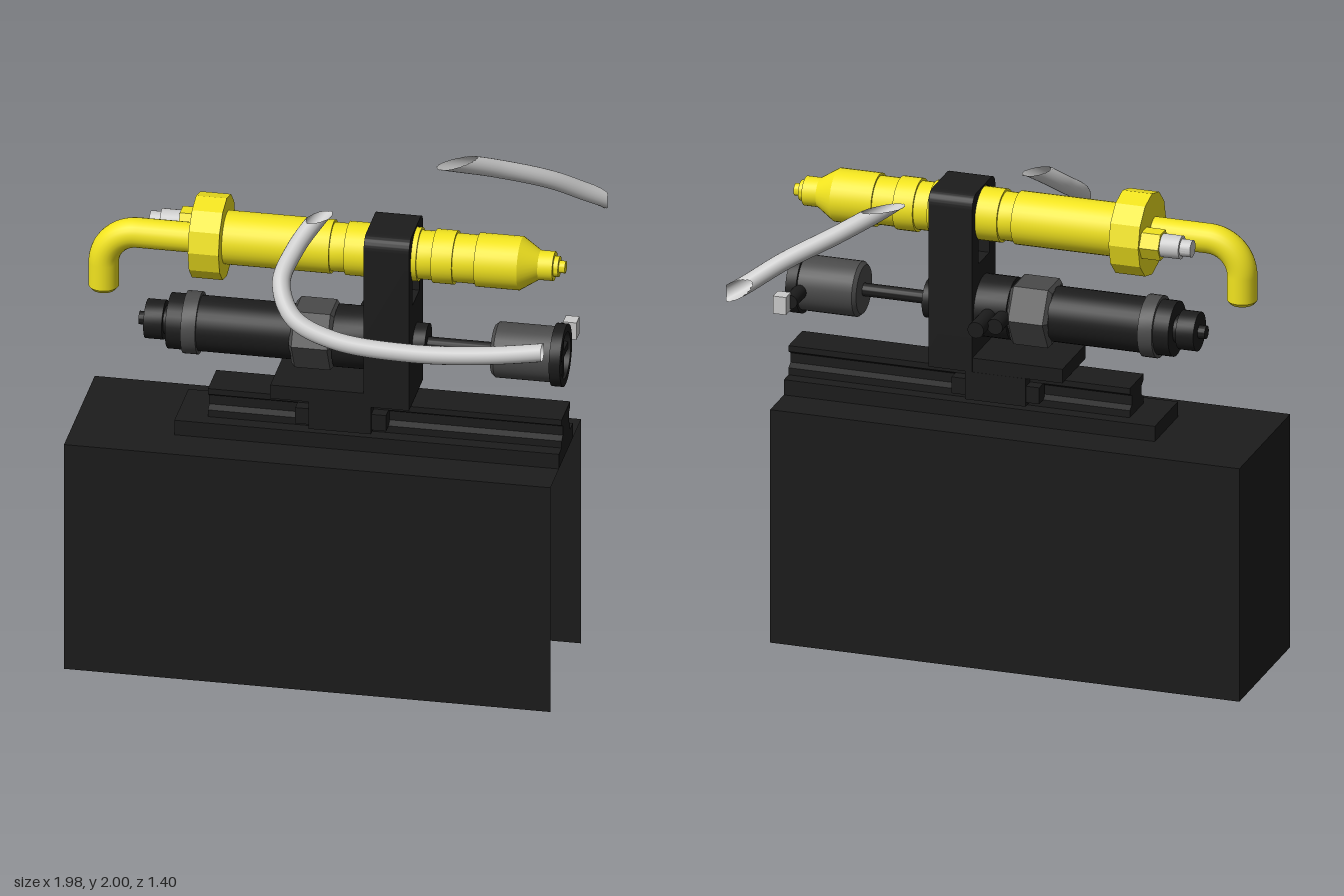
import * as THREE from 'three';
import { toCreasedNormals } from 'three/addons/utils/BufferGeometryUtils.js';

const BLACK = 0x1c1c1c, GREY = 0x4a4a4a, YELLOW = 0xf2e41f, LIGHT = 0xcccccc;
const CZ = 0.157;      // shared centre plane of torch, actuator and rail
const TORCH_Y = 1.83, ACT_Y = 1.437;
const END_X = 0.99;    // plane where rail, housing and cables are cut off

export function createModel() {
  const root = new THREE.Group();

  function add(name, geometry, color, parent = root, side = THREE.FrontSide) {
    const mesh = new THREE.Mesh(geometry, new THREE.MeshStandardMaterial({ color, side }));
    mesh.name = name;
    parent.add(mesh);
    return mesh;
  }
  function group(name) {
    const g = new THREE.Group();
    g.name = name;
    root.add(g);
    return g;
  }
  // Box given by its limits on each axis
  function box(name, x0, x1, y0, y1, z0, z1, color, parent) {
    const g = new THREE.BoxGeometry(x1 - x0, y1 - y0, z1 - z0);
    g.translate((x0 + x1) / 2, (y0 + y1) / 2, (z0 + z1) / 2);
    return add(name, g, color, parent);
  }
  // Turned part along x from [x, radius] pairs
  function turned(name, profile, y, z, color, parent, segments = 32) {
    const pts = [[profile[0][0], 0], ...profile, [profile.at(-1)[0], 0]];
    let g = new THREE.LatheGeometry(pts.map(([x, r]) => new THREE.Vector2(r, x)), segments);
    g = toCreasedNormals(g.rotateZ(-Math.PI / 2), segments > 12 ? 0.5 : 0.2);
    return add(name, g.translate(0, y, z), color, parent);
  }
  // Cross-section (across z, up y) extruded along x
  function extrudeX(name, shape, x0, x1, color, parent) {
    const g = new THREE.ExtrudeGeometry(shape, { depth: x1 - x0, bevelEnabled: false, curveSegments: 20 });
    g.rotateY(Math.PI / 2).translate(x0, 0, CZ);
    return add(name, toCreasedNormals(g, 0.5), color, parent);
  }

  // Hollow housing, open at the bottom and the +x end
  const housing = group('housing');
  function panel(name, w, h, rx, ry, x, y, z) {
    const g = new THREE.PlaneGeometry(w, h).rotateX(rx).rotateY(ry).translate(x, y, z);
    add(name, g, BLACK, housing, THREE.DoubleSide);
  }
  const W = 2 * END_X, zBack = -0.155, zFront = 0.472, zMid = (zBack + zFront) / 2, D = zFront - zBack;
  panel('housingFront', W, 1, 0, 0, 0, 0.5, zFront);
  panel('housingBack', W, 1, 0, Math.PI, 0, 0.5, zBack);
  panel('housingTop', W, D, -Math.PI / 2, 0, 0, 1, zMid);
  panel('housingEnd', D, 1, 0, -Math.PI / 2, -END_X, 0.5, zMid);

  // Linear guide: base plate, waisted rail and carriage
  const guide = group('linearGuide');
  box('railBasePlate', -0.575, END_X, 1.0, 1.065, 0.015, 0.3, BLACK, guide);
  const half = [[0.085, 1.065], [0.085, 1.095], [0.06, 1.11], [0.06, 1.15], [0.085, 1.165], [0.085, 1.19]];
  const section = [...half, ...half.map(([x, y]) => [-x, y]).reverse()];
  extrudeX('rail', new THREE.Shape(section.map(p => new THREE.Vector2(...p))), -0.45, END_X, BLACK, guide);
  for (const s of [-1, 1]) {
    const span = (a, b) => [CZ + s * a, CZ + s * b].sort((p, q) => p - q);
    box('carriageSide', -0.03, 0.225, 1.08, 1.2, ...span(0.088, 0.143), BLACK, guide);
    box('carriageEndSeal', -0.085, 0.285, 1.095, 1.165, ...span(0.07, 0.135), BLACK, guide);
  }
  box('carriagePlate', -0.185, 0.2, 1.2, 1.26, 0.015, 0.3, BLACK, guide);

  // Upright bracket with a keyhole opening for the torch
  const bw = 0.143, top = 1.95, cr = 0.06, hr = 0.112, slot = 0.068;
  const bracket = new THREE.Shape();
  bracket.moveTo(-bw, 1.2);
  bracket.lineTo(bw, 1.2);
  bracket.lineTo(bw, top - cr);
  bracket.quadraticCurveTo(bw, top, bw - cr, top);
  bracket.lineTo(cr - bw, top);
  bracket.quadraticCurveTo(-bw, top, -bw, top - cr);
  const a = Math.asin(slot / hr);
  const keyhole = new THREE.Path();
  keyhole.moveTo(-slot, 1.635);
  keyhole.lineTo(slot, 1.635);
  keyhole.absarc(0, TORCH_Y, hr, -Math.PI / 2 + a, Math.PI * 1.5 - a, false);
  keyhole.lineTo(-slot, 1.635);
  bracket.holes.push(keyhole);
  extrudeX('bracket', bracket, 0.195, 0.38, BLACK);

  // Torch: grooved barrel, nozzle, collar, bent inlet and gas fitting
  const torch = group('torch');
  const R = 0.109, barrel = [[-0.4, R]];
  for (const [g0, g1] of [[0.045, 0.105], [0.4, 0.46], [0.545, 0.635]])
    barrel.push([g0, R], [g0, R - 0.01], [g1, R - 0.01], [g1, R]);
  barrel.push([0.81, R], [0.885, 0.06], [0.945, 0.06], [0.945, 0.042], [0.965, 0.042], [0.965, 0.025], [END_X, 0.025]);
  turned('torchBarrel', barrel, TORCH_Y, CZ, YELLOW, torch);
  turned('torchCollar', [[-0.515, 0.173], [-0.39, 0.173]], TORCH_Y, CZ, YELLOW, torch, 12);

  const V = (x, y, z) => new THREE.Vector3(x, y, z);
  const inletZ = 0.187, bend = 0.14, elbowX = -0.885, inlet = new THREE.CurvePath();
  const c1 = V(elbowX + bend, TORCH_Y, inletZ), c2 = V(elbowX, TORCH_Y - bend, inletZ);
  const k = bend * 0.552;
  inlet.add(new THREE.LineCurve3(V(-0.5, TORCH_Y, inletZ), c1));
  inlet.add(new THREE.CubicBezierCurve3(c1, V(c1.x - k, c1.y, inletZ), V(c2.x, c2.y + k, inletZ), c2));
  inlet.add(new THREE.LineCurve3(c2, V(elbowX, 1.585, inletZ)));
  add('torchInlet', new THREE.TubeGeometry(inlet, 60, 0.061, 24), YELLOW, torch);
  add('inletTip', new THREE.CylinderGeometry(0.061, 0.048, 0.015, 24).translate(elbowX, 1.5775, inletZ), YELLOW, torch);
  turned('gasFittingNut', [[-0.595, 0.064], [-0.51, 0.064]], TORCH_Y, 0.058, YELLOW, torch, 6);
  turned('gasFitting', [[-0.72, 0.035], [-0.675, 0.035], [-0.675, 0.048], [-0.595, 0.048]], TORCH_Y, 0.058, LIGHT, torch, 24);

  // Actuator below the torch
  const actuator = group('actuator');
  const act = (name, profile, color, seg) => turned(name, profile, ACT_Y, CZ, color, actuator, seg);
  act('actuatorEndCap', [[-0.745, 0.027], [-0.715, 0.027], [-0.715, 0.08], [-0.64, 0.08], [-0.64, 0.055], [-0.61, 0.055]], BLACK);
  act('actuatorBody', [[-0.62, 0.113], [0.2, 0.113]], BLACK);
  act('clampRing', [[-0.555, 0.127], [-0.495, 0.127]], GREY);
  act('hexSection', [[-0.115, 0.125], [-0.1, 0.143], [0.045, 0.143], [0.06, 0.125]], GREY, 6);
  act('actuatorFlange', [[0.06, 0.127], [0.2, 0.127]], BLACK);
  act('rodGland', [[0.37, 0.08], [0.43, 0.08]], BLACK);
  act('pushRod', [[0.43, 0.027], [0.72, 0.027]], BLACK);

  // Plug at the rod end, with an open spoked flange
  act('plugBody', [[0.7, 0.1], [0.715, 0.113], [0.95, 0.113]], GREY);
  const ring = new THREE.Shape().absarc(0, ACT_Y, 0.127, 0, Math.PI * 2);
  ring.holes.push(new THREE.Path().absarc(0, ACT_Y, 0.095, 0, Math.PI * 2));
  extrudeX('plugFlange', ring, 0.945, END_X, BLACK, actuator);
  box('flangeSpoke', 0.945, 0.98, ACT_Y - 0.1, ACT_Y + 0.1, CZ - 0.015, CZ + 0.015, BLACK, actuator);
  box('flangeSpoke', 0.945, 0.98, ACT_Y - 0.015, ACT_Y + 0.015, CZ - 0.1, CZ + 0.1, BLACK, actuator);

  // Side connectors pointing to the back
  function stub(name, x, z0, z1, r, color) {
    const g = new THREE.CylinderGeometry(r, r, z1 - z0, 20).rotateX(Math.PI / 2);
    add(name, g.translate(x, ACT_Y, (z0 + z1) / 2), color, actuator);
  }
  stub('plugConnectorStem', 0.935, -0.07, 0.07, 0.03, BLACK);
  box('plugConnectorTip', 0.935, END_X, 1.4, 1.475, -0.12, -0.06, LIGHT, actuator);
  stub('bodyConnectorStem', 0.075, -0.06, 0.06, 0.033, BLACK);
  stub('bodyConnector', 0.135, -0.12, 0.05, 0.034, BLACK);

  // Cables, cut flat where they leave the model's limits
  function cable(name, points) {
    const curve = new THREE.CatmullRomCurve3(points.map(p => V(...p)));
    const g = new THREE.TubeGeometry(curve, 200, 0.037, 20);
    const p = g.attributes.position, idx = g.index.array, keep = [];
    const outside = i => p.getX(i) > END_X || p.getY(i) > 2 || p.getZ(i) < -0.705;
    for (let i = 0; i < idx.length; i += 3) {
      const tri = [idx[i], idx[i + 1], idx[i + 2]];
      if (!tri.every(outside)) keep.push(...tri);
    }
    for (let i = 0; i < p.count; i++)
      p.setXYZ(i, Math.min(p.getX(i), END_X), Math.min(p.getY(i), 2), Math.max(p.getZ(i), -0.705));
    g.setIndex(keep);
    add(name, g, LIGHT, root, THREE.DoubleSide);
  }
  cable('frontCable', [[0.08, 2.08, 0.14], [0, 2, 0.25], [-0.07, 1.91, 0.37], [-0.1, 1.82, 0.5], [-0.03, 1.72, 0.6],
    [0.14, 1.66, 0.645], [0.45, 1.64, 0.662], [0.75, 1.655, 0.655], [1.08, 1.695, 0.63]]);
  cable('backCable', [[0.33, 2.08, -0.2], [0.43, 2.01, -0.32], [0.58, 1.93, -0.46], [0.78, 1.83, -0.6],
    [0.92, 1.74, -0.69], [1.08, 1.65, -0.78]]);

  return root;
}
